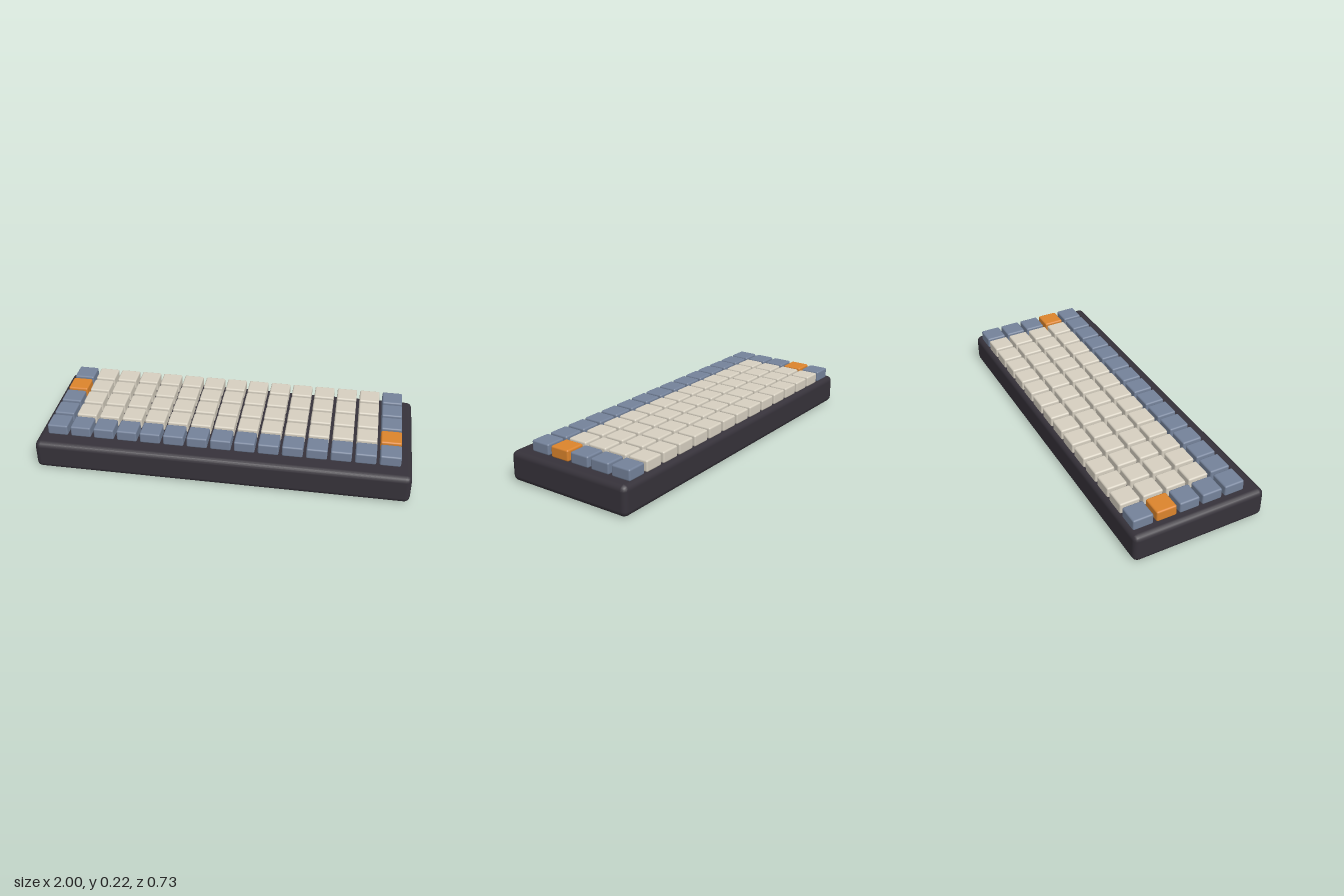
import * as THREE from 'three';
import { RoundedBoxGeometry } from 'three/addons/geometries/RoundedBoxGeometry.js';

const COLS = 15, ROWS = 5, PITCH = 0.127;
const CAP = { width: 0.11, height: 0.06, radius: 0.009 };

const paint = (color) => new THREE.MeshStandardMaterial({ color });

function addPart(parent, name, geometry, material, x, y, z) {
  const mesh = new THREE.Mesh(geometry, material);
  mesh.name = name;
  mesh.position.set(x, y, z);
  parent.add(mesh);
  return mesh;
}

export function createModel() {
  const model = new THREE.Group();
  model.name = 'keyboard';

  const caseMat = paint(0x36323a);
  const plateMat = paint(0x1c1c1e);
  const tealMat = paint(0x0a8a94);
  const letterMat = paint(0xd6cfc0);
  const modifierMat = paint(0x74829a);
  const accentMat = paint(0xdc842c);

  // Case with rounded edges
  addPart(model, 'case', new RoundedBoxGeometry(2, 0.16, 0.73, 2, 0.03), caseMat, 0, 0.083, 0);

  // Thin light strip under the case, with a dark base plate set into it
  addPart(model, 'lightStrip', new THREE.BoxGeometry(1.94, 0.0045, 0.672), tealMat, 0, 0.0027, 0);
  addPart(model, 'basePlate', new THREE.BoxGeometry(1.925, 0.002, 0.657), plateMat, 0, 0.001, 0);

  // Grid of keycaps, row 0 at the back
  const keys = new THREE.Group();
  keys.name = 'keycaps';
  keys.position.set(-0.004, 0.193, -0.037);
  model.add(keys);
  const capGeometry = new RoundedBoxGeometry(CAP.width, CAP.height, CAP.width, 2, CAP.radius);

  for (let row = 0; row < ROWS; row++) {
    for (let col = 0; col < COLS; col++) {
      const first = col === 0, last = col === COLS - 1;
      const accent = (row === 1 && first) || (row === 3 && last);
      const modifier = first || last || row === ROWS - 1;
      const kind = accent ? 'accentKey' : modifier ? 'modifierKey' : 'letterKey';
      const material = accent ? accentMat : modifier ? modifierMat : letterMat;
      addPart(keys, kind, capGeometry, material,
        (col - (COLS - 1) / 2) * PITCH, 0, (row - (ROWS - 1) / 2) * PITCH);
    }
  }

  return model;
}
